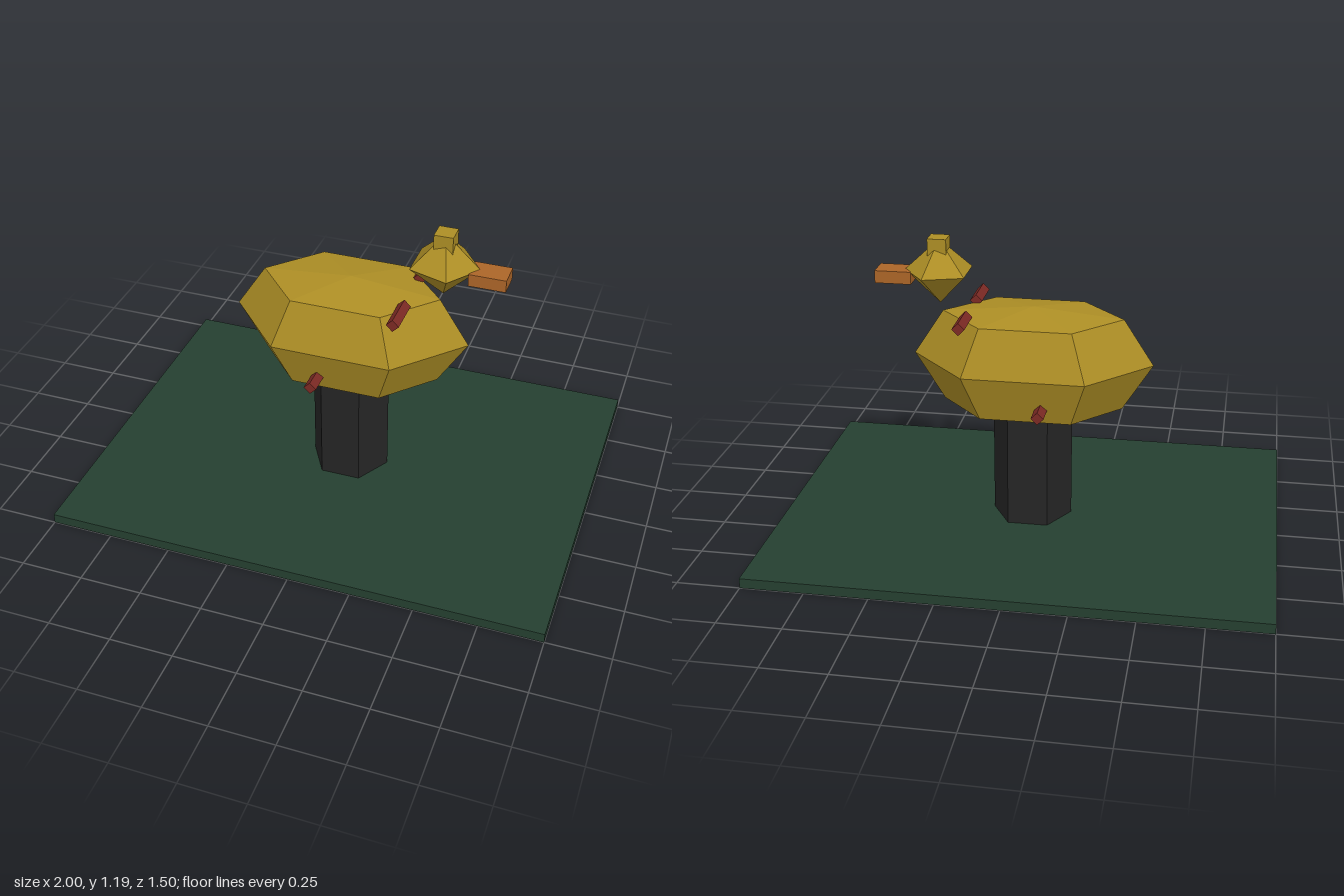
import * as THREE from 'three';

const mat = (name, color, flatShading = true) => {
  const m = new THREE.MeshStandardMaterial({ color, flatShading });
  m.name = name;
  return m;
};

export function createModel() {
  const gold = mat('gold', 0xad8e25);
  const green = mat('dark green', 0x253f30);
  const black = mat('charcoal', 0x252525);
  const red = mat('dark red', 0x7c2a24);
  const orange = mat('orange', 0xac6528);

  const model = new THREE.Group();
  model.name = 'birdOnPost';

  const add = (name, geometry, material, x, y, z) => {
    const mesh = new THREE.Mesh(geometry, material);
    mesh.name = name;
    mesh.position.set(x, y, z);
    model.add(mesh);
    return mesh;
  };
  // faceted solid from [radius, y] points, with a corner pointing along +x
  const facet = (points, sides) => new THREE.LatheGeometry(
    points.map(([r, y]) => new THREE.Vector2(r, y)), sides, Math.PI / 2);

  // base board and hexagonal post
  add('base', new THREE.BoxGeometry(2, 0.04, 1.5), green, 0, 0.02, 0);
  add('post', facet([[0, 0], [0.16, 0], [0.16, 0.48], [0, 0.48]], 6), black, 0, 0.03, 0);

  // six-sided body, narrowed across z
  const body = facet([[0, -0.22], [0.36, -0.19], [0.48, 0], [0.36, 0.185], [0, 0.22]], 6);
  body.scale(1, 1, 0.62);
  add('body', body, gold, 0, 0.705, 0);

  // five-sided head with crest and beak
  add('head', facet([[0, -0.13], [0.14, 0], [0, 0.13]], 5), gold, 0.37, 1.052, 0);
  add('crest', new THREE.BoxGeometry(0.075, 0.075, 0.075), gold, 0.372, 1.152, 0);
  add('beak', new THREE.BoxGeometry(0.145, 0.05, 0.1), orange, 0.548, 1.03, 0);

  // diamond-section pegs on each side
  const peg = new THREE.CylinderGeometry(0.025, 0.025, 0.15, 4);
  peg.rotateX(Math.PI / 2);
  for (const [side, s] of [['left', 1], ['right', -1]]) {
    add(side + 'UpperPeg', peg, red, 0.247, 0.902, s * 0.175);
    add(side + 'LowerPeg', peg, red, -0.065, 0.577, s * 0.225);
  }
  return model;
}
